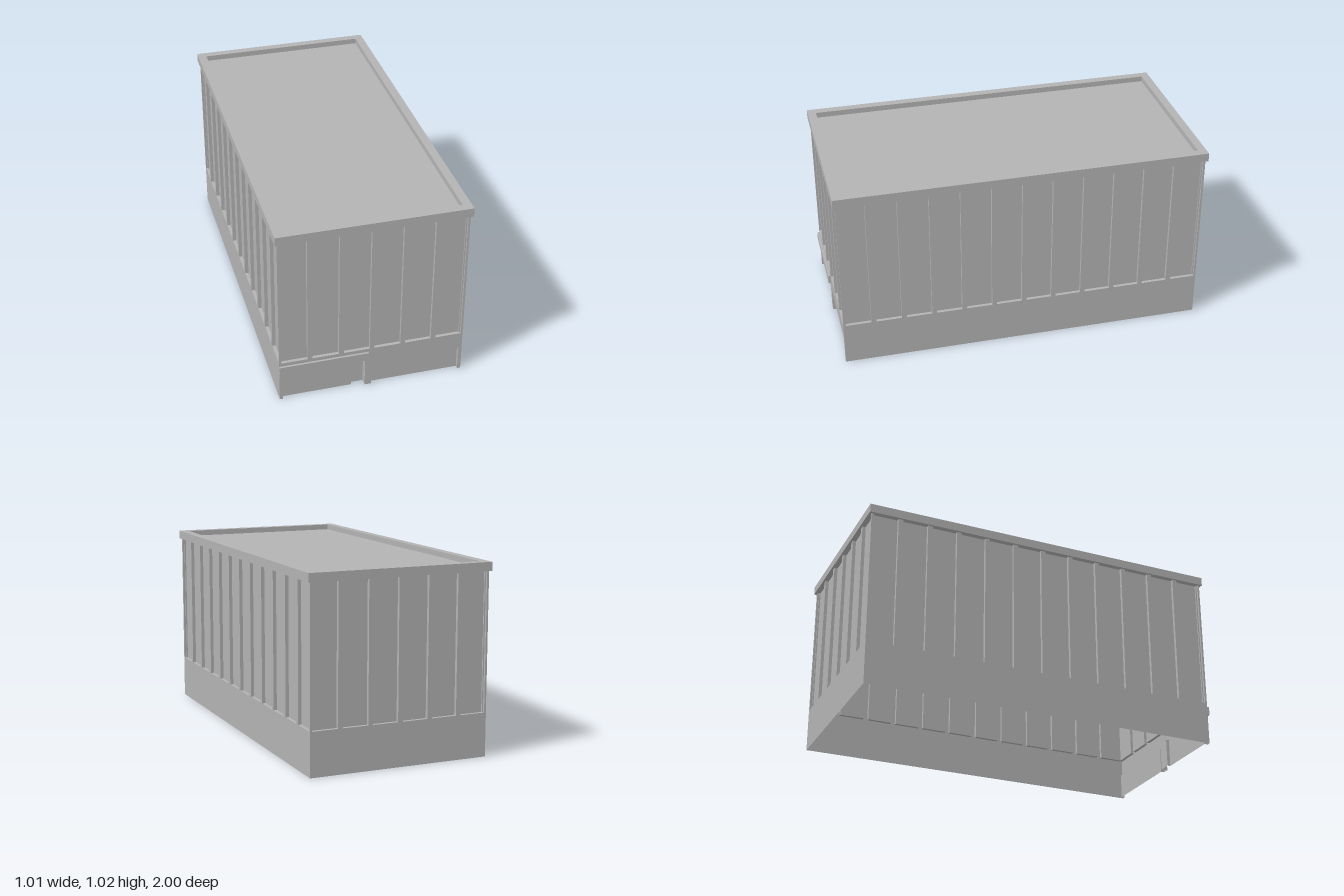
import * as THREE from 'three';

const HALF_X = 0.493, HALF_Z = 0.988;      // wall planes
const EAVE = 0.971, TOP = 1.018;           // cornice bottom and top
const SILL = 0.235, PITCH = 0.165, PANEL_W = 0.139, PANEL_DEPTH = 0.018;

const concrete = new THREE.MeshStandardMaterial({ color: 0xb3b3b3, side: THREE.DoubleSide });
concrete.name = 'concrete grey';

function add(parent, name, geometry, x = 0, y = 0, z = 0) {
  const mesh = new THREE.Mesh(geometry, concrete);
  mesh.name = name;
  mesh.position.set(x, y, z);
  parent.add(mesh);
  return mesh;
}

// Upright sheet with notches cut into its top and bottom edges
function sheet(x0, x1, y0, y1, topNotches = [], bottomNotches = []) {
  const s = new THREE.Shape();
  s.moveTo(x0, y0);
  for (const n of bottomNotches) {
    s.lineTo(n.x0, y0); s.lineTo(n.x0, n.y1); s.lineTo(n.x1, n.y1); s.lineTo(n.x1, y0);
  }
  s.lineTo(x1, y0);
  s.lineTo(x1, y1);
  for (const n of [...topNotches].reverse()) {
    s.lineTo(n.x1, y1); s.lineTo(n.x1, n.y0); s.lineTo(n.x0, n.y0); s.lineTo(n.x0, y1);
  }
  s.lineTo(x0, y1);
  return new THREE.ShapeGeometry(s);
}

// Back sheet and reveals of a recess; its open edge lies at the wall's top or bottom
function recess(parent, name, n, depth, z = 0, openTop = false, inner = []) {
  const g = new THREE.Group();
  g.name = name;
  g.position.z = z;
  const w = n.x1 - n.x0, h = n.y1 - n.y0;
  add(g, 'recessedFace', sheet(n.x0, n.x1, n.y0, n.y1, [], inner), 0, 0, -depth);
  for (const [x, turn] of [[n.x0, 1], [n.x1, -1]]) {
    add(g, 'sideReveal', new THREE.PlaneGeometry(depth, h), x, n.y0 + h / 2, -depth / 2)
      .rotation.y = turn * Math.PI / 2;
  }
  add(g, openTop ? 'sill' : 'headReveal', new THREE.PlaneGeometry(w, depth),
    n.x0 + w / 2, openTop ? n.y0 : n.y1, -depth / 2).rotation.x = openTop ? -Math.PI / 2 : Math.PI / 2;
  parent.add(g);
}

// One wall facing +z, with a row of tall recessed panels and optional ground openings
function wall(name, halfWidth, count, openings = []) {
  const g = new THREE.Group();
  g.name = name;
  const panels = Array.from({ length: count }, (_, i) => {
    const c = (i - (count - 1) / 2) * PITCH;
    return { x0: c - PANEL_W / 2, x1: c + PANEL_W / 2, y0: SILL, y1: EAVE };
  });
  add(g, 'wallFace', sheet(-halfWidth, halfWidth, 0, EAVE, panels, openings));
  panels.forEach((p) => recess(g, 'tallPanel', p, PANEL_DEPTH, 0, true));
  return g;
}

function rect(path, hx, hz) {
  path.moveTo(-hx, -hz);
  path.lineTo(hx, -hz);
  path.lineTo(hx, hz);
  path.lineTo(-hx, hz);
  path.closePath();
  return path;
}

export function createModel() {
  const model = new THREE.Group();
  model.name = 'building';

  // Front wall with an entrance bay, a door and a wide bay
  const entrance = { x0: -0.475, x1: -0.037, y0: 0, y1: 0.17 };
  const door = { x0: -0.104, x1: -0.0375, y0: 0, y1: 0.157 };
  const wideBay = { x0: -0.002, x1: 0.475, y0: 0, y1: 0.14 };
  const front = wall('frontWall', HALF_X, 6, [entrance, wideBay]);
  recess(front, 'entranceBay', entrance, 0.02, 0, false, [door]);
  recess(front, 'door', door, 0.018, -0.02);
  recess(front, 'wideBay', wideBay, 0.02);
  add(front, 'entranceLintel', new THREE.BoxGeometry(0.473, 0.046, 0.012), -0.2565, 0.193, 0.006);
  front.position.z = HALF_Z;

  // Remaining walls
  const back = wall('backWall', HALF_X, 6);
  back.position.z = -HALF_Z;
  back.rotation.y = Math.PI;
  model.add(front, back);
  for (const side of [1, -1]) {
    const w = wall(side > 0 ? 'leftWall' : 'rightWall', HALF_Z, 12);
    w.position.x = side * HALF_X;
    w.rotation.y = side * Math.PI / 2;
    model.add(w);
  }

  // Cornice ring and sunken flat roof
  const ring = rect(new THREE.Shape(), 0.505, 1);
  ring.holes.push(rect(new THREE.Path(), 0.459, 0.955));
  const cornice = new THREE.ExtrudeGeometry(ring, { depth: TOP - EAVE, bevelEnabled: false });
  add(model, 'cornice', cornice, 0, EAVE, 0).rotation.x = -Math.PI / 2;
  cornice.computeVertexNormals();
  add(model, 'roof', new THREE.PlaneGeometry(0.918, 1.91), 0, 0.988, 0).rotation.x = -Math.PI / 2;

  return model;
}
